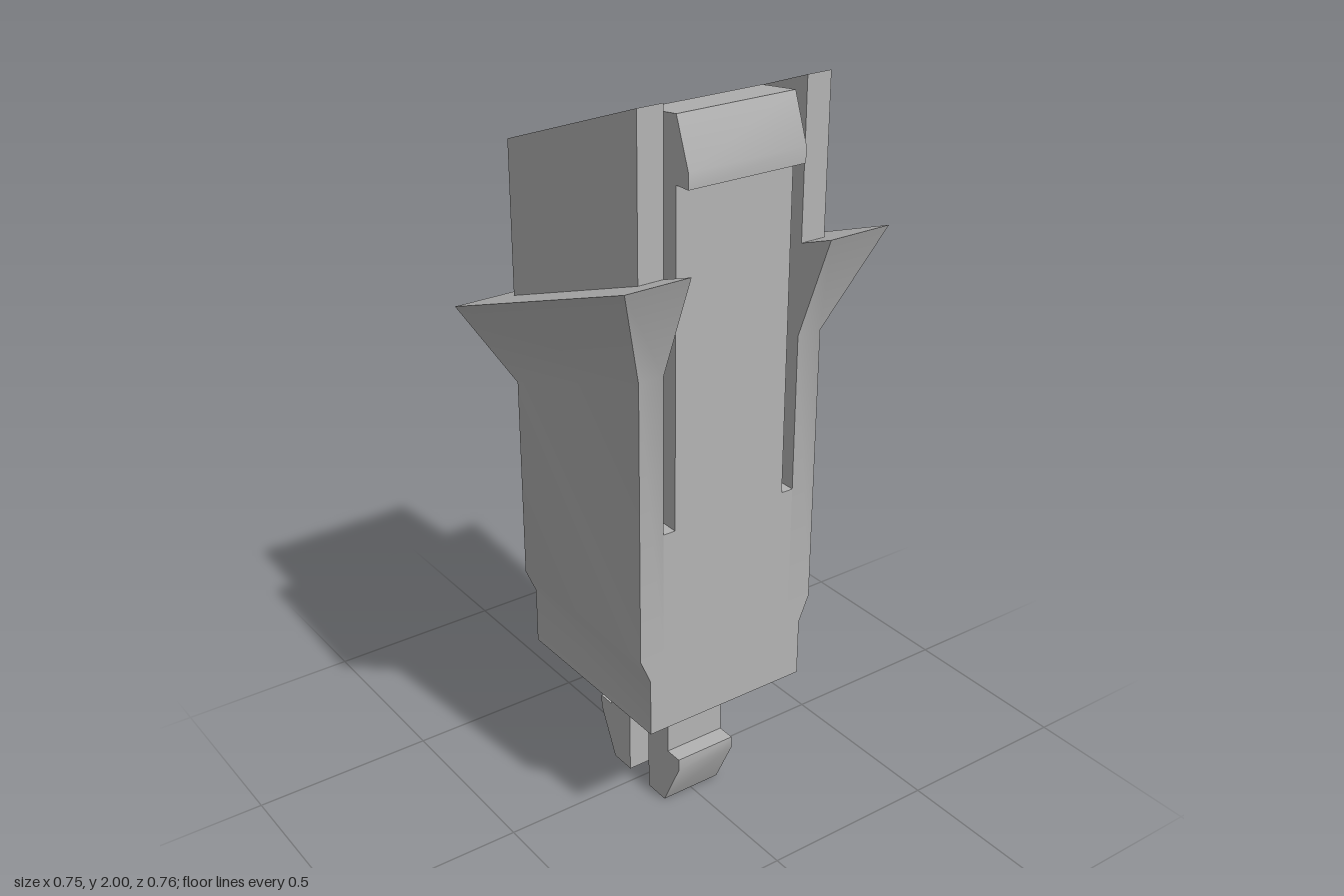
import * as THREE from 'three';
import { mergeGeometries, toCreasedNormals } from 'three/addons/utils/BufferGeometryUtils.js';

// Collects quads whose corners run clockwise seen from outside; drops flat triangles.
function fromQuads(quads) {
  const out = [];
  const tri = (a, b, c) => {
    const area = b.clone().sub(a).cross(c.clone().sub(a)).length();
    if (area > 1e-6) for (const p of [a, b, c]) out.push(p.x, p.y, p.z);
  };
  for (const [a, b, c, d] of quads) { tri(a, d, c); tri(a, c, b); }
  const g = new THREE.BufferGeometry();
  g.setAttribute('position', new THREE.Float32BufferAttribute(out, 3));
  return g;
}

// Joins successive closed rings.
function loftQuads(rings) {
  const quads = [];
  for (let r = 0; r + 1 < rings.length; r++) {
    const lo = rings[r], hi = rings[r + 1], n = lo.length;
    for (let i = 0; i < n; i++) {
      const j = (i + 1) % n;
      quads.push([lo[i], lo[j], hi[j], hi[i]]);
    }
  }
  return quads;
}

const rectRing = (x, z, y) =>
  [[x, z], [-x, z], [-x, -z], [x, -z]].map(([px, pz]) => new THREE.Vector3(px, y, pz));

// C-shaped section open toward +x; slope tilts the ring along x.
const SLOT = 0.2, BACK = 0.03;
const cRing = (x0, x1, z, y, slope) =>
  [[x1, SLOT], [x1, z], [x0, z], [x0, -z], [x1, -z], [x1, -SLOT], [BACK, -SLOT], [BACK, SLOT]]
    .map(([px, pz]) => new THREE.Vector3(px, y + slope * px, pz));

// Extrudes an x-y profile centred on z = 0.
function slab(shape, depth) {
  const g = new THREE.ExtrudeGeometry(shape, { depth, bevelEnabled: false, curveSegments: 24 });
  g.translate(0, 0, -depth / 2);
  return toCreasedNormals(g, 0.5);
}
const polygon = (pts) => new THREE.Shape(pts.map(([x, y]) => new THREE.Vector2(x, y)));

export function createModel() {
  const group = new THREE.Group();
  const grey = new THREE.MeshStandardMaterial({ color: 0xb3b3b3 });
  grey.name = 'plastic grey';
  const add = (name, geometry) => {
    const m = new THREE.Mesh(geometry, grey);
    m.name = name;
    group.add(m);
  };

  // Housing: hollow foot, tapered shoulder, slotted walls, flared bezel and slanted top
  const W = 0.27, TILT = 0.367;
  const foot = loftQuads([
    rectRing(0, 0, 0.6), rectRing(0.18, 0.16, 0.6), rectRing(0.18, 0.16, 0.37),
    rectRing(W, 0.24, 0.37), rectRing(W, 0.24, 0.53), rectRing(W, W, 0.6),
  ]);
  const top = cRing(-W, W, W, 1.9, TILT);
  const walls = loftQuads([
    cRing(-W, W, W, 0.6, 0),
    cRing(-W, W, W, 1.26, TILT),
    cRing(-0.38, 0.375, 0.378, 1.498, TILT),
    cRing(-W, W, W, 1.498, TILT),
    top,
  ]);
  const cap = [[0, 1, 2, 7], [7, 2, 3, 6], [6, 3, 4, 5]].map((q) => q.map((i) => top[i]));
  const housing = mergeGeometries([fromQuads(foot), fromQuads([...walls, ...cap])]);
  add('housing', toCreasedNormals(housing, 0.6));

  // Solid base under the latch with a rounded groove behind it
  const base = new THREE.Shape();
  base.moveTo(BACK, 0.6);
  base.lineTo(W, 0.6);
  base.lineTo(W, 0.94);
  base.lineTo(0.15, 0.94);
  base.absarc(0.09, 0.94, 0.06, 0, Math.PI, true);
  base.closePath();
  add('latchBase', slab(base, SLOT * 2));

  // Springy latch with a hooked tip
  add('latch', slab(polygon([
    [0.15, 0.94], [W, 0.94], [W, 1.81], [0.315, 1.81], [0.315, 1.85], [W, 1.97], [0.15, 1.955],
  ]), 0.332));

  // Pair of barbed prongs below the foot
  for (const s of [1, -1]) {
    const prong = polygon([
      [0.045, 0], [0.12, 0], [0.185, 0.135], [0.185, 0.17], [0.135, 0.17], [0.135, 0.62], [0.045, 0.62],
    ].map(([x, y]) => [s * x, y]));
    add(s > 0 ? 'leftProng' : 'rightProng', slab(prong, 0.178));
  }
  return group;
}
